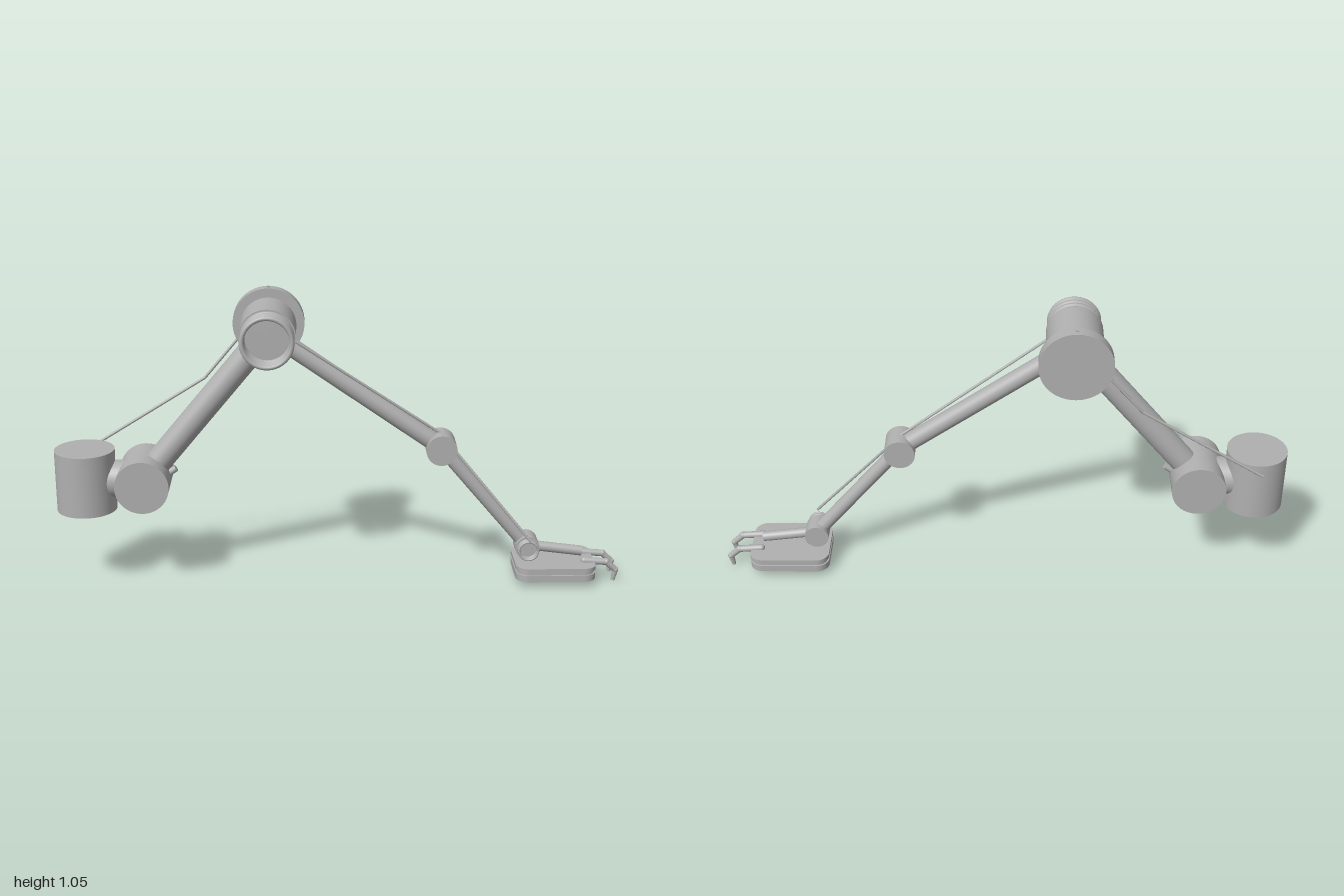
import * as THREE from 'three';

const CZ = -0.01; // depth of the arm's centre plane

export function createModel() {
  const model = new THREE.Group();
  model.name = 'roboticArm';
  const grey = new THREE.MeshStandardMaterial({ color: 0xb0b0b0 });
  grey.name = 'grey metal';

  function add(name, geometry, parent = model) {
    const mesh = new THREE.Mesh(geometry, grey);
    mesh.name = name;
    parent.add(mesh);
    return mesh;
  }

  // Cylinder between two points, optionally tapered
  function rod(name, a, b, r0, r1 = r0, segments = 32) {
    const from = new THREE.Vector3(...a), to = new THREE.Vector3(...b);
    const dir = to.clone().sub(from);
    const mesh = add(name, new THREE.CylinderGeometry(r1, r0, dir.length(), segments));
    mesh.position.copy(from).add(to).multiplyScalar(0.5);
    mesh.quaternion.setFromUnitVectors(new THREE.Vector3(0, 1, 0), dir.normalize());
    return mesh;
  }

  // Cylinder lying along z
  const drum = (name, x, y, z0, z1, r) => rod(name, [x, y, z0], [x, y, z1], r, r, 64);

  function ball(name, p, r) {
    add(name, new THREE.SphereGeometry(r, 20, 14)).position.set(...p);
  }

  // Stack of rings in front of a joint
  function coil(name, x, y, depths, radius, tube) {
    depths.forEach((z) => {
      add(name, new THREE.TorusGeometry(radius, tube, 12, 56)).position.set(x, y, z);
    });
  }

  // Thin cable with straight runs
  function cable(name, points, r = 0.005) {
    for (let i = 1; i < points.length; i++) {
      rod(name, points[i - 1], points[i], r, r, 10);
      if (i < points.length - 1) ball(name + 'Bend', points[i], r);
    }
  }

  // Base, link and shoulder
  rod('base', [-0.895, 0.28, CZ], [-0.895, 0.5, CZ], 0.105, 0.105, 64);
  rod('baseLink', [-0.88, 0.39, CZ], [-0.69, 0.39, CZ], 0.067);
  drum('shoulder', -0.69, 0.39, -0.115, 0.095, 0.094);
  rod('shoulderPeg', [-0.64, 0.385, CZ], [-0.577, 0.427, CZ], 0.012, 0.012, 16);
  rod('shoulderPin', [-0.685, 0.35, CZ], [-0.68, 0.293, CZ], 0.005, 0.005, 10);

  // Joint centres along the arm
  const shoulder = [-0.69, 0.39, CZ], elbow = [-0.248, 0.92, CZ];
  const midJoint = [0.353, 0.5, CZ], wrist = [0.668, 0.126, CZ];
  rod('upperArm', shoulder, elbow, 0.046);
  rod('forearm', elbow, midJoint, 0.032);
  rod('lowerForearm', midJoint, wrist, 0.025);

  // Elbow motor, coil and rear wheel
  drum('elbowMotor', elbow[0], elbow[1], -0.097, 0.078, 0.097);
  coil('elbowRing', elbow[0], elbow[1], [0.084, 0.106, 0.128, 0.15], 0.0845, 0.0083);
  drum('rearWheel', elbow[0], elbow[1], -0.158, -0.114, 0.125);
  rod('wheelPin', [elbow[0], 1.03, -0.136], [elbow[0], 1.049, -0.136], 0.005, 0.005, 10);

  // Middle joint and wrist
  drum('middleJoint', midJoint[0], midJoint[1], -0.061, 0.042, 0.054);
  drum('wristJoint', wrist[0], wrist[1], -0.048, 0.028, 0.043);
  coil('wristRing', wrist[0], wrist[1], [0.033, 0.0435, 0.054], 0.034, 0.004);

  // Cables
  cable('baseCable', [[-0.905, 0.46, -0.118], [-0.475, 0.725, -0.12], [-0.335, 0.89, -0.128]]);
  cable('forearmCable', [[-0.16, 0.905, 0.055], [0.35, 0.55, -0.01]]);
  cable('wristCable', [[0.4, 0.49, 0.0], [0.675, 0.165, 0.068]]);

  // Rounded hand plate made of three layers
  function plate(name, y0, y1, inset) {
    const w = 0.1425 - inset, d = 0.11 - inset, r = 0.045 - inset;
    const s = new THREE.Shape();
    s.moveTo(w, -d + r);
    [[w - r, d - r, 0], [r - w, d - r, 0.5], [r - w, r - d, 1], [w - r, r - d, 1.5]].forEach(([x, y, a]) =>
      s.absarc(x, y, r, a * Math.PI, (a + 0.5) * Math.PI, false));
    const g = new THREE.ExtrudeGeometry(s, { depth: y1 - y0, bevelEnabled: false, curveSegments: 10 });
    g.rotateX(-Math.PI / 2);
    add(name, g).position.set(0.766, y0, CZ);
  }
  plate('palmTop', 0.06, 0.076, 0);
  plate('palmGroove', 0.05, 0.06, 0.006);
  plate('palmBottom', 0.026, 0.05, 0);

  // Bar along the top of the hand
  rod('handBar', wrist, [0.867, 0.1, CZ], 0.018);

  // Two curled fingers
  [0.03, -0.05].forEach((z) => {
    const p = [[0.872, 0.079, z], [0.952, 0.073, z], [0.986, 0.042, z], [0.979, 0.003, z]];
    const r = [0.0125, 0.012, 0.0105, 0.007];
    for (let i = 0; i < 3; i++) {
      rod('fingerSegment', p[i], p[i + 1], r[i], r[i + 1], 20);
      if (i) ball('fingerKnuckle', p[i], r[i] * 1.08);
    }
    ball('fingerBase', p[0], r[0]);
  });

  return model;
}
